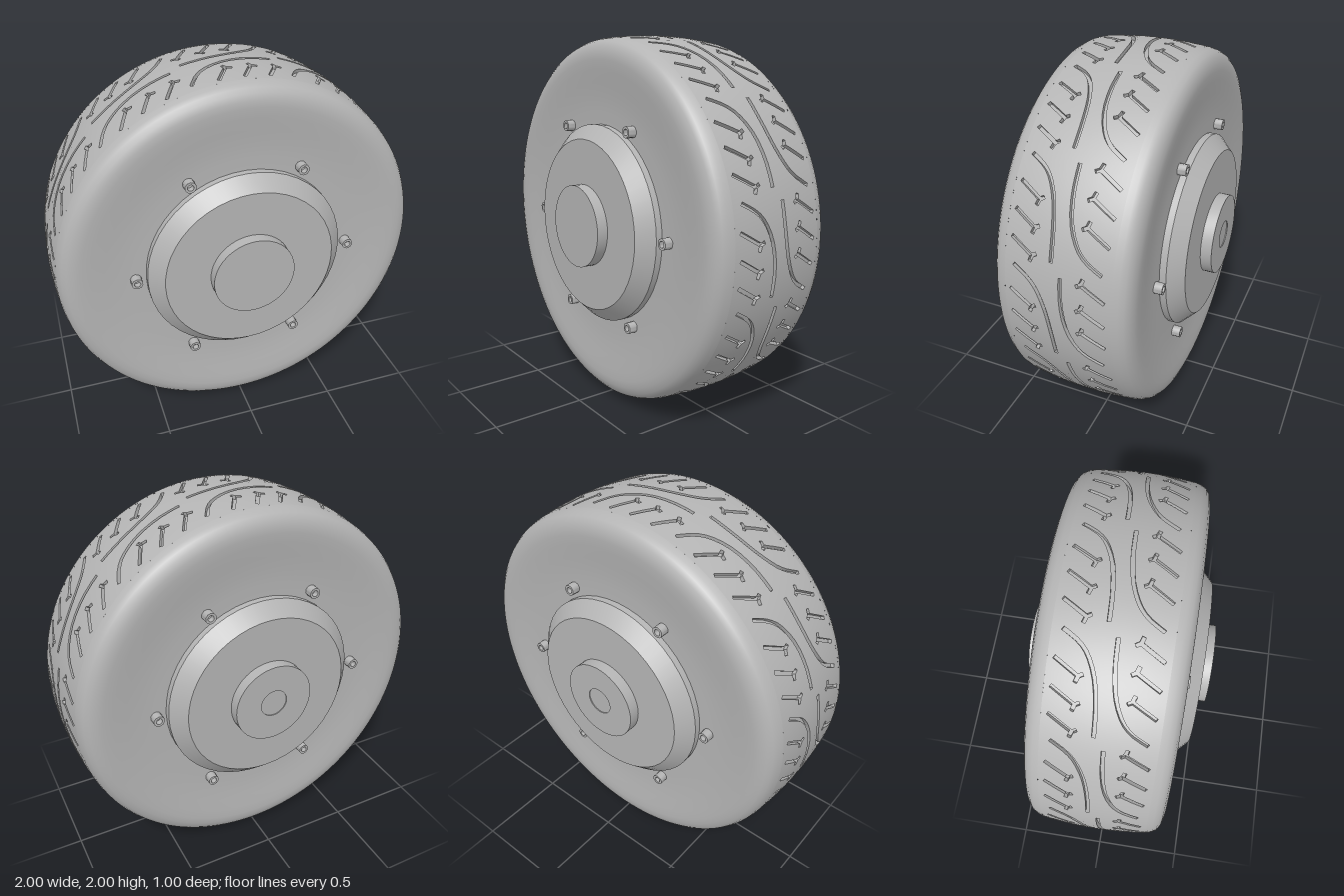
import * as THREE from 'three';
import { toCreasedNormals } from 'three/addons/utils/BufferGeometryUtils.js';

const PITCHES = 12, PITCH = (Math.PI * 2) / PITCHES; // tread repeats, arc length at radius 1
const BAND = 0.27, DEPTH = 0.02, HALF = 0.009;       // tread half width, groove depth, groove half width
const crown = v => 1 - 0.25 * v * v;                 // tyre radius across the tread
const V2 = (x, y) => new THREE.Vector2(x, y);

// Turned part with its axis along z; profile is [radius, z]
function turned(profile, segments, crease) {
  let g = new THREE.LatheGeometry(profile.map(p => V2(p[0], p[1])), segments);
  if (crease) g = toCreasedNormals(g, crease);
  return g.rotateX(Math.PI / 2);
}

// Outline of a curved groove along a path
function sweep(points) {
  const curve = new THREE.SplineCurve(points.map(p => V2(...p)));
  const left = [], right = [];
  for (let i = 0; i <= 12; i++) {
    const p = curve.getPoint(i / 12), t = curve.getTangent(i / 12);
    left.push(V2(p.x - t.y * HALF, p.y + t.x * HALF));
    right.push(V2(p.x + t.y * HALF, p.y - t.x * HALF));
  }
  return right.concat(left.reverse());
}

// Outline of a branched groove: arms listed counter-clockwise from a centre
function branch(cx, cy, arms) {
  const out = [];
  arms.forEach(([x, y], i) => {
    const l = Math.hypot(x, y), nx = (-y / l) * HALF, ny = (x / l) * HALF;
    out.push(V2(cx + x - nx, cy + y - ny), V2(cx + x + nx, cy + y + ny));
    const [x2, y2] = arms[(i + 1) % arms.length];
    const a = Math.atan2(y, x);
    let gap = Math.atan2(y2, x2) - a;
    if (gap <= 0) gap += Math.PI * 2;
    const d = HALF / Math.sin(gap / 2);
    out.push(V2(cx + Math.cos(a + gap / 2) * d, cy + Math.sin(a + gap / 2) * d));
  });
  return out;
}

// One pitch of tread: a flat slab with groove holes, refined and bent round the wheel
function treadBlock() {
  const w = PITCH / 2;
  const slab = new THREE.Shape([V2(-w, -BAND), V2(w, -BAND), V2(w, BAND), V2(-w, BAND)]);
  const grooves = [sweep([[-0.23, 0.025], [-0.1, 0.03], [0.03, 0.05], [0.13, 0.09], [0.19, 0.14], [0.24, 0.22]])];
  for (const u of [-0.22, -0.09, 0.04])
    grooves.push(branch(u, 0.125, [[0.07, 0.115], [-0.03, 0.01], [0.012, -0.022]]));
  for (const g of grooves) {
    slab.holes.push(new THREE.Path(g));
    slab.holes.push(new THREE.Path(g.map(p => V2(-p.x, -p.y))));
  }
  const flat = new THREE.ExtrudeGeometry(slab, { depth: DEPTH, bevelEnabled: false });
  const src = flat.attributes.position, pos = [], nor = [];

  const emit = (tri, n) => {
    for (const p of tri) {
      const r = crown(p.y) + p.z - DEPTH, s = Math.sin(p.x), c = Math.cos(p.x);
      pos.push(r * s, r * c, -p.y);
      const m = n.z > 0.5 ? new THREE.Vector3(0, 0.5 * p.y, 1).normalize() : n;
      nor.push(m.x * c + m.z * s, -m.x * s + m.z * c, -m.y);
    }
  };
  const refine = (a, b, c, n) => {
    const ab = a.distanceTo(b), bc = b.distanceTo(c), ca = c.distanceTo(a);
    const longest = Math.max(ab, bc, ca);
    if (longest < 0.07) return emit([a, b, c], n);
    if (longest === bc) [a, b, c] = [b, c, a];
    else if (longest === ca) [a, b, c] = [c, a, b];
    const m = a.clone().add(b).multiplyScalar(0.5);
    refine(a, m, c, n);
    refine(m, b, c, n);
  };
  for (let i = 0; i < src.count; i += 3) {
    const [a, b, c] = [0, 1, 2].map(k => new THREE.Vector3().fromBufferAttribute(src, i + k));
    const n = b.clone().sub(a).cross(c.clone().sub(a)).normalize();
    if (n.z < -0.5 || Math.abs(n.x) > 0.999) continue; // hidden underside and joints
    refine(a, b, c, n);
  }
  const g = new THREE.BufferGeometry();
  g.setAttribute('position', new THREE.Float32BufferAttribute(pos, 3));
  g.setAttribute('normal', new THREE.Float32BufferAttribute(nor, 3));
  return g;
}

export function createModel() {
  const grey = new THREE.MeshStandardMaterial({ color: 0xb4b4b4 });
  grey.name = 'grey';
  const wheel = new THREE.Group();
  wheel.name = 'wheel';
  wheel.position.y = 1;
  const add = (parent, name, geometry) => {
    const m = new THREE.Mesh(geometry, grey);
    m.name = name;
    parent.add(m);
    return m;
  };

  // Tread blocks over the groove floor
  const floor = [];
  for (let i = -6; i <= 6; i++) floor.push([crown((i / 6) * BAND) - DEPTH, (i / 6) * BAND]);
  add(wheel, 'grooveFloor', turned(floor, 120));
  const block = treadBlock();
  for (let i = 0; i < PITCHES; i++) add(wheel, 'treadBlock', block).rotation.z = i * PITCH;

  // Shared geometry for the two sides
  const wall = turned([[crown(BAND), BAND], [0.974, 0.3], [0.96, 0.325], [0.938, 0.343], [0.905, 0.354],
    [0.87, 0.356], [0.82, 0.352], [0.75, 0.343], [0.68, 0.335], [0.6, 0.33], [0.5, 0.33]], 120);
  const hub = turned([[0.535, 0.3], [0.535, 0.365], [0.46, 0.44], [0, 0.44]], 48, 0.5);
  const nut = turned([[0.03, 0.31], [0.03, 0.376], [0.017, 0.376], [0.017, 0.345], [0, 0.345]], 10, 0.8);
  const frontBoss = turned([[0.22, 0.43], [0.22, 0.5], [0, 0.5]], 48, 0.5);
  const backBoss = turned([[0.22, 0.43], [0.22, 0.5], [0.075, 0.5], [0.075, 0.495], [0, 0.495]], 48, 0.5);

  for (const name of ['front', 'back']) {
    const side = new THREE.Group();
    side.name = name + 'Side';
    if (name === 'back') side.rotation.y = Math.PI;
    wheel.add(side);
    add(side, 'sidewall', wall);
    add(side, 'hubCover', hub);
    add(side, 'axleBoss', name === 'front' ? frontBoss : backBoss);
    for (let i = 0; i < 6; i++) {
      const a = (i * Math.PI) / 3;
      add(side, 'bolt', nut).position.set(0.59 * Math.cos(a), 0.59 * Math.sin(a), 0);
    }
  }

  const model = new THREE.Group();
  model.name = 'wheelModel';
  model.add(wheel);
  return model;
}
